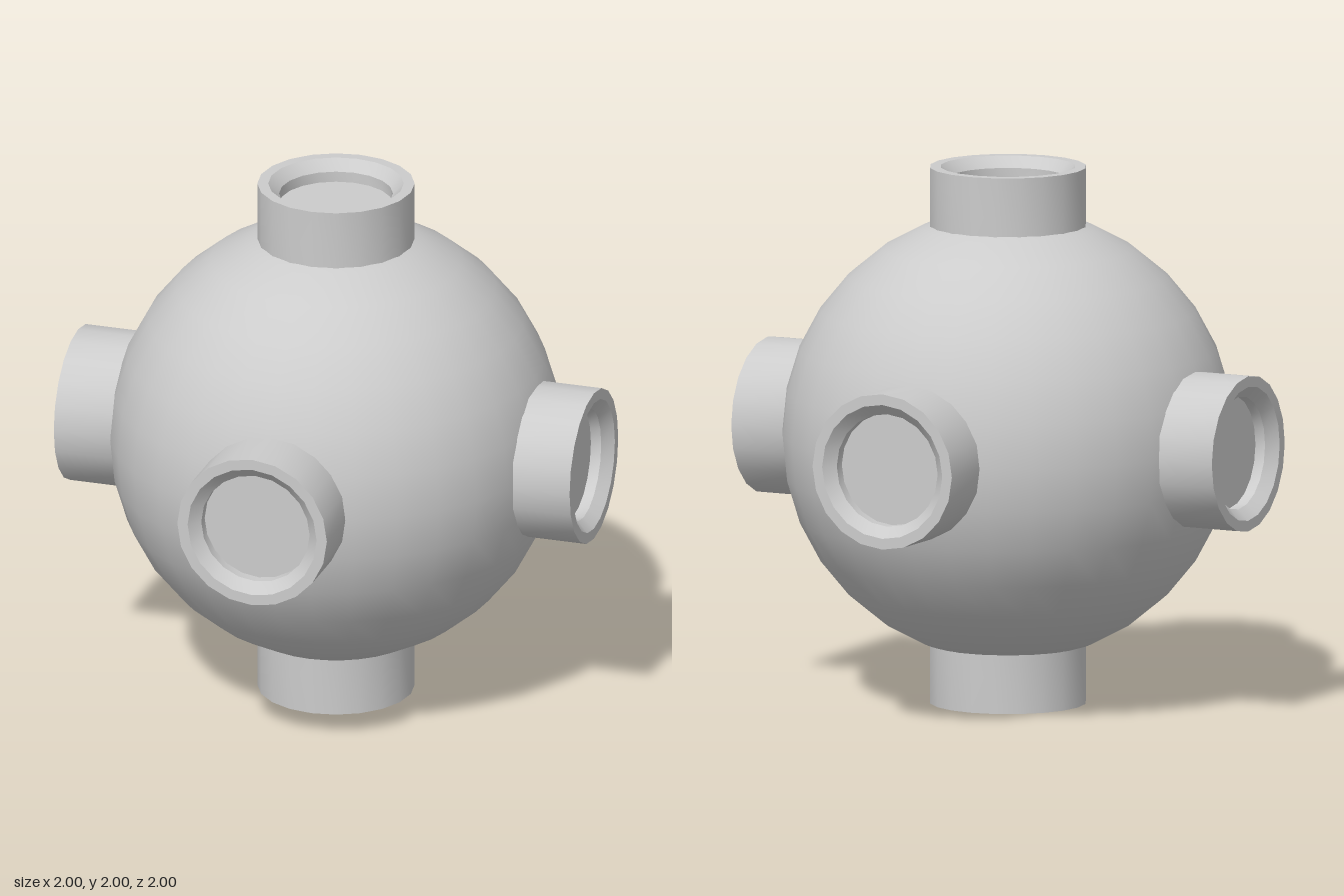
import * as THREE from 'three';
import { toCreasedNormals } from 'three/addons/utils/BufferGeometryUtils.js';

export function createModel() {
  const model = new THREE.Group();
  model.name = 'sixPortSphere';
  const material = new THREE.MeshStandardMaterial({ color: 0xcccccc });

  // Central ball
  const ball = new THREE.Mesh(new THREE.SphereGeometry(0.835, 32, 16), material);
  ball.name = 'ball';
  ball.position.y = 1;
  model.add(ball);

  // Port collar: outer wall, flat rim, chamfer, short bore and recessed floor
  const profile = [
    [0.29, 0.72], [0.29, 1], [0.25, 1], [0.21, 0.96], [0.21, 0.92], [0, 0.92],
  ].map(([r, y]) => new THREE.Vector2(r, y));
  const portGeometry = toCreasedNormals(new THREE.LatheGeometry(profile, 20), 0.6);

  // One port along each axis direction
  const ports = {
    topPort: [0, 0, 0],
    bottomPort: [Math.PI, 0, 0],
    frontPort: [Math.PI / 2, 0, 0],
    backPort: [-Math.PI / 2, 0, 0],
    leftPort: [0, 0, -Math.PI / 2],
    rightPort: [0, 0, Math.PI / 2],
  };
  for (const [name, rotation] of Object.entries(ports)) {
    const port = new THREE.Mesh(portGeometry, material);
    port.name = name;
    port.position.y = 1;
    port.rotation.set(...rotation);
    model.add(port);
  }
  return model;
}
